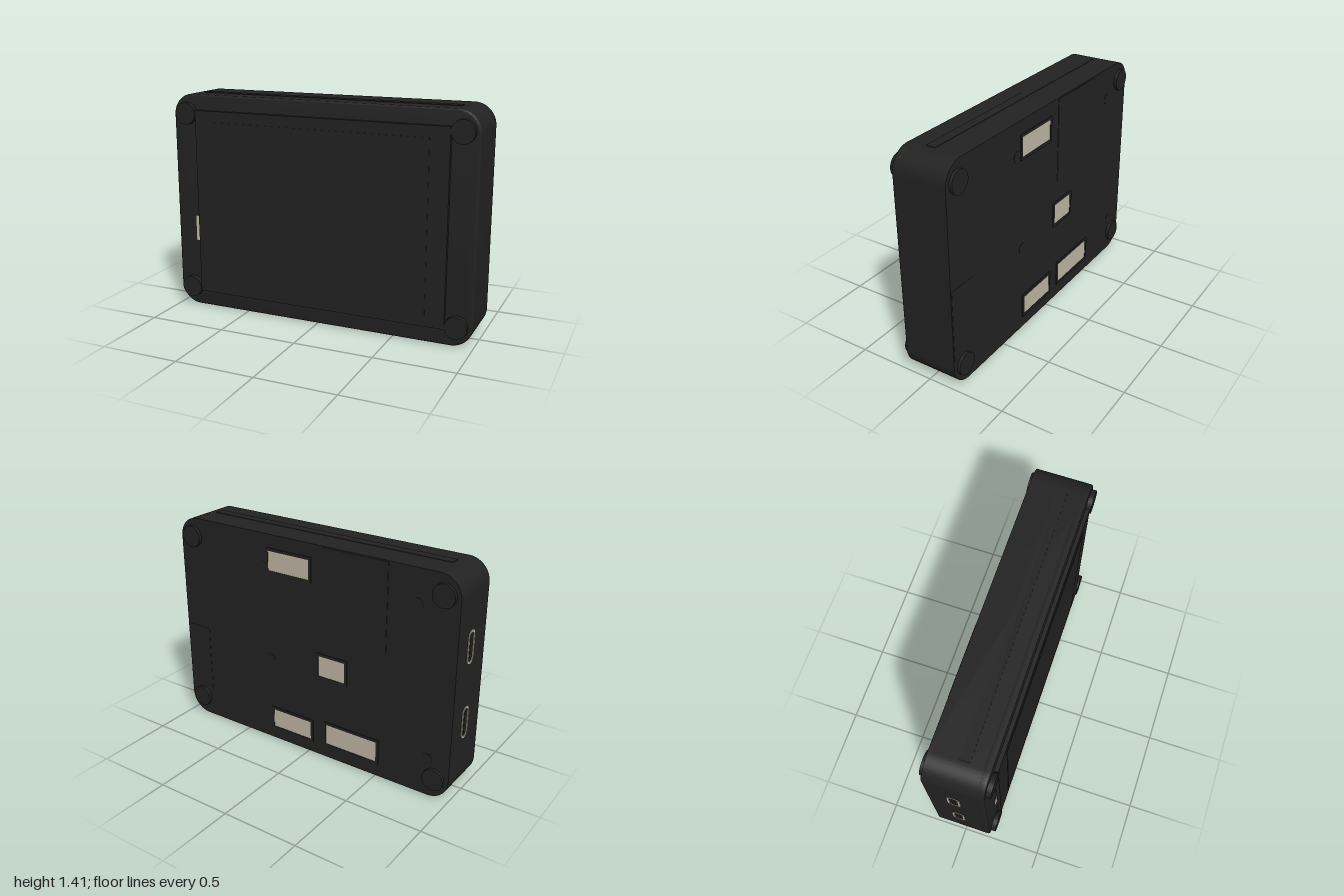
import * as THREE from 'three';
import { toCreasedNormals } from 'three/addons/utils/BufferGeometryUtils.js';

function roundedRect(Path, x0, y0, x1, y1, r) {
  const p = new Path();
  p.moveTo(x0 + r, y0);
  p.lineTo(x1 - r, y0);
  p.absarc(x1 - r, y0 + r, r, -Math.PI / 2, 0, false);
  p.lineTo(x1, y1 - r);
  p.absarc(x1 - r, y1 - r, r, 0, Math.PI / 2, false);
  p.lineTo(x0 + r, y1);
  p.absarc(x0 + r, y1 - r, r, Math.PI / 2, Math.PI, false);
  p.lineTo(x0, y0 + r);
  p.absarc(x0 + r, y0 + r, r, Math.PI, Math.PI * 1.5, false);
  return p;
}

export function createModel() {
  const group = new THREE.Group();
  const black = new THREE.MeshStandardMaterial({ color: 0x222222 });
  black.name = 'black plastic';
  const beige = new THREE.MeshStandardMaterial({ color: 0xc0b8a5 });
  beige.name = 'beige connector';

  const add = (name, geo, mat, x = 0, y = 0, z = 0) => {
    const m = new THREE.Mesh(geo, mat);
    m.name = name;
    m.position.set(x, y, z);
    group.add(m);
    return m;
  };
  // Box given by its limits on each axis
  const slab = (name, mat, x0, x1, y0, y1, z0, z1) =>
    add(name, new THREE.BoxGeometry(x1 - x0, y1 - y0, z1 - z0), mat,
      (x0 + x1) / 2, (y0 + y1) / 2, (z0 + z1) / 2);
  const extrude = (shape, options) =>
    toCreasedNormals(new THREE.ExtrudeGeometry(shape, { curveSegments: 16, bevelEnabled: false, ...options }), 0.6);

  // Case: straight shell with a softened front rim
  const outline = roundedRect(THREE.Shape, -0.997, 0.005, 0.997, 1.408, 0.135);
  add('caseShell', extrude(outline, { depth: 0.335 }), black, 0, 0, -0.18);
  add('caseFrontRim', extrude(outline, {
    depth: 0.03, bevelEnabled: true, bevelThickness: 0.012, bevelSize: 0.012, bevelOffset: -0.012, bevelSegments: 3,
  }), black, 0, 0, 0.128);

  // Raised display and its glass
  slab('displayPanel', black, -0.83, 0.83, 0.11, 1.31, 0.16, 0.195);
  slab('displayGlass', black, -0.69, 0.71, 0.17, 1.24, 0.19, 0.198);
  slab('displayConnector', beige, -0.865, -0.83, 0.45, 0.615, 0.165, 0.172);

  // Corner posts passing through front and back
  for (const x of [-0.9, 0.9]) {
    for (const y of [0.13, 1.285]) {
      const post = new THREE.CylinderGeometry(0.07, 0.07, 0.4, 32).rotateX(Math.PI / 2);
      add('cornerPost', post, black, x, y, 0);
    }
  }

  // Back connectors: a dark frame around a beige face
  const connectors = [
    [-0.01, 0.29, 1.18, 1.305],
    [-0.27, -0.08, 0.57, 0.705],
    [-0.02, 0.275, 0.095, 0.22],
    [-0.505, -0.137, 0.104, 0.24],
  ];
  for (const [x0, x1, y0, y1] of connectors) {
    const frame = roundedRect(THREE.Shape, x0 - 0.018, y0 - 0.018, x1 + 0.018, y1 + 0.018, 0.005);
    frame.holes.push(roundedRect(THREE.Path, x0, y0, x1, y1, 0.001));
    add('connectorFrame', extrude(frame, { depth: 0.008 }), black, 0, 0, -0.186);
    slab('connectorFace', beige, x0, x1, y0, y1, -0.183, -0.178);
  }

  // Shallow plates and screw covers on the back
  slab('backHatch', black, -0.55, -0.11, 0.86, 1.4, -0.183, -0.178);
  slab('backSidePlate', black, 0.81, 0.99, 0.2, 0.66, -0.182, -0.178);
  for (const [x, y] of [[0.34, 1.2], [-0.74, 1.2], [0.29, 0.58], [-0.85, 0.25]]) {
    const cover = new THREE.CylinderGeometry(0.035, 0.035, 0.005, 20).rotateX(Math.PI / 2);
    add('screwCover', cover, black, x, y, -0.1795);
  }

  // Two charging ports on the side: a thin beige ring around a dark tongue
  for (const y of [0.47, 0.95]) {
    const ring = roundedRect(THREE.Shape, -0.04, -0.105, 0.04, 0.105, 0.039);
    ring.holes.push(roundedRect(THREE.Path, -0.025, -0.09, 0.025, 0.09, 0.0245));
    const port = add('sidePortRing', extrude(ring, { depth: 0.008 }), beige, -0.993, y, -0.02);
    port.rotation.y = -Math.PI / 2;
    slab('sidePortTongue', black, -0.999, -0.99, y - 0.07, y + 0.07, -0.03, -0.01);
  }

  // Card slot underneath, shallow ridge on top
  slab('cardSlotFrame', black, 0.385, 0.775, 0.002, 0.01, -0.06, 0.02);
  slab('cardSlotFace', beige, 0.4, 0.76, 0, 0.008, -0.045, 0.005);
  slab('topRidge', black, -0.85, 0.85, 1.4, 1.411, -0.01, 0.05);

  return group;
}
